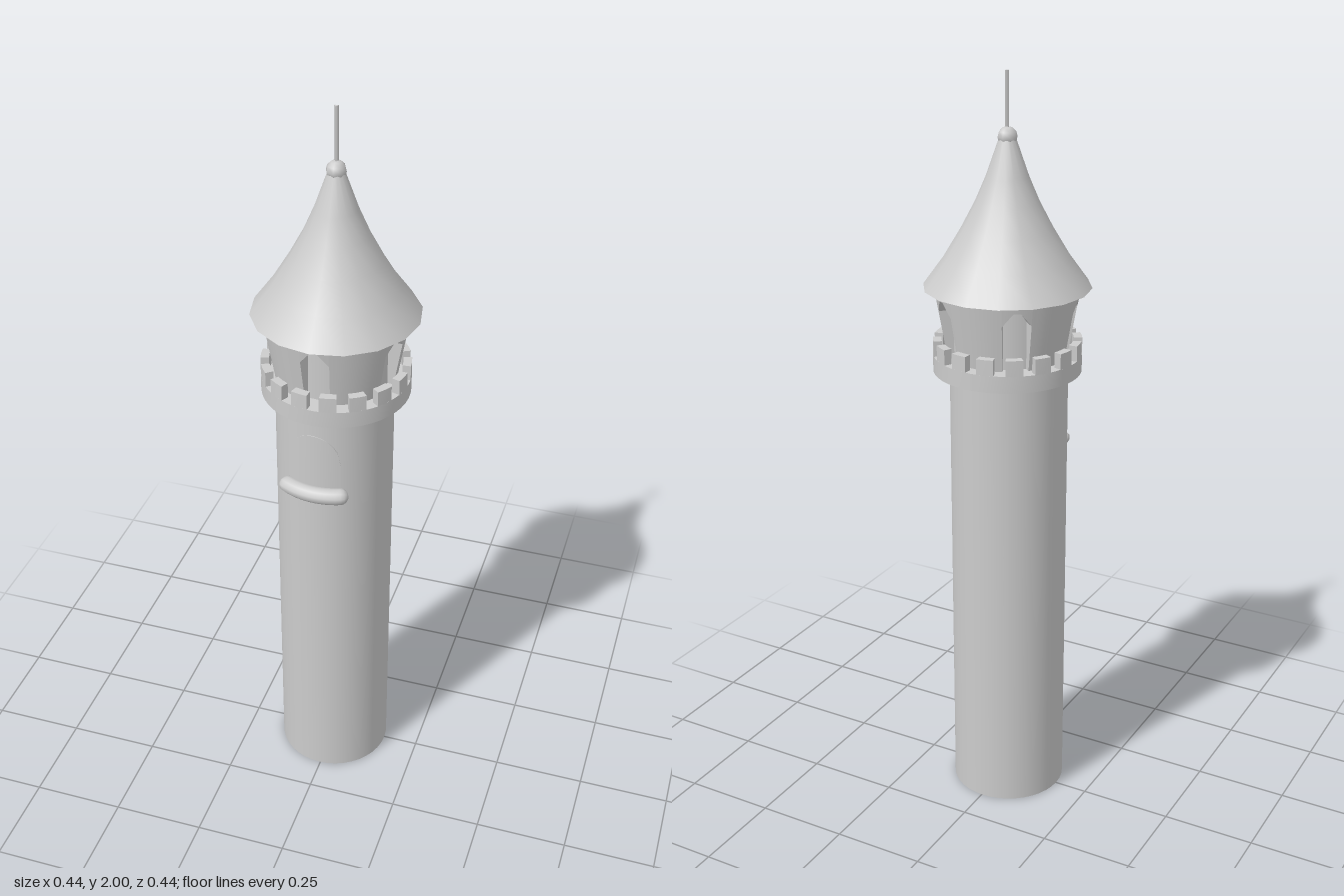
import * as THREE from 'three';

const material = new THREE.MeshStandardMaterial({ color: 0xcccccc, side: THREE.DoubleSide });

function add(parent, name, geometry, x = 0, y = 0, z = 0) {
  const mesh = new THREE.Mesh(geometry, material);
  mesh.name = name;
  mesh.position.set(x, y, z);
  parent.add(mesh);
  return mesh;
}

// Curved masonry block: a box wrapped round the y axis.
// bottom/top may be functions of u (-1..1 across), inner/outer functions of height.
function curvedBlock(angle, halfAngle, bottom, top, inner, outer, segments = 4) {
  const at = (f, t) => (typeof f === 'function' ? f(t) : f);
  const geometry = new THREE.BoxGeometry(1, 1, 1, segments, 1, 1);
  const p = geometry.attributes.position;
  for (let i = 0; i < p.count; i++) {
    const u = p.getX(i) * 2;
    const y = p.getY(i) > 0 ? at(top, u) : at(bottom, u);
    const r = p.getZ(i) > 0 ? at(outer, y) : at(inner, y);
    const a = angle + u * halfAngle;
    p.setXYZ(i, r * Math.sin(a), y, r * Math.cos(a));
  }
  geometry.computeVertexNormals();
  return geometry;
}

export function createModel() {
  const tower = new THREE.Group();
  tower.name = 'tower';

  // Shaft, open underneath
  add(tower, 'shaft', new THREE.CylinderGeometry(0.155, 0.155, 1.24, 40, 1, true), -0.003, 0.62, 0.002);

  // Battlement: solid ring with merlons
  const battlement = new THREE.Group();
  battlement.name = 'battlement';
  tower.add(battlement);
  add(battlement, 'battlementRing', curvedBlock(0, Math.PI, 1.233, 1.278, 0.138, 0.194, 48));
  const merlons = 16;
  for (let i = 0; i < merlons; i++) {
    const angle = ((i + 0.5) / merlons) * Math.PI * 2;
    add(battlement, 'merlon', curvedBlock(angle, 0.115, 1.277, 1.319, 0.172, 0.194, 2));
  }

  // Flared lookout chamber with five pointed openings
  const chamber = new THREE.Group();
  chamber.name = 'chamber';
  tower.add(chamber);
  const flare = (y) => 0.158 + (y - 1.277) * 0.172;
  const arch = (u) => 1.437 - 0.035 * Math.max(0, (Math.abs(u) - 0.25) / 0.75);
  const openings = 5, halfOpening = 0.21;
  for (let i = 0; i < openings; i++) {
    const angle = (i / openings) * Math.PI * 2;
    add(chamber, 'lintel', curvedBlock(angle, halfOpening, arch, 1.458, 0.14, flare, 8));
    add(chamber, 'pier', curvedBlock(angle + Math.PI / openings, Math.PI / openings - halfOpening, 1.277, 1.458, 0.14, flare, 8));
  }
  add(chamber, 'chamberCore', new THREE.CylinderGeometry(0.142, 0.142, 0.19, 32, 1, true), 0, 1.363, 0);

  // Bell-shaped roof and its flat underside
  const profile = [[0.218, 1.457], [0.165, 1.53], [0.12, 1.605], [0.083, 1.675], [0.055, 1.74], [0.018, 1.845]];
  add(tower, 'roof', new THREE.LatheGeometry(profile.map(([r, y]) => new THREE.Vector2(r, y)), 16));
  const underside = new THREE.CircleGeometry(0.218, 16);
  underside.rotateX(Math.PI / 2);
  add(tower, 'roofUnderside', underside, 0, 1.457, 0);

  // Finial ball and spike
  add(tower, 'finialBall', new THREE.SphereGeometry(0.026, 8, 6), 0, 1.838, 0);
  add(tower, 'spike', new THREE.CylinderGeometry(0.006, 0.006, 0.15, 3), 0, 1.925, 0);

  // Shallow arched window panel on the front of the shaft
  const windowAngle = -0.08;
  const panelTop = (u) => 1.09 + 0.085 * Math.sqrt(Math.max(0, 1 - u * u));
  add(tower, 'windowPanel', curvedBlock(windowAngle, 0.46, 1.01, panelTop, 0.14, 0.159, 16));

  // Rounded sill, bent round the shaft
  const sill = new THREE.CapsuleGeometry(0.021, 0.15, 4, 10, 12);
  sill.rotateZ(Math.PI / 2);
  const p = sill.attributes.position;
  for (let i = 0; i < p.count; i++) {
    const a = windowAngle + p.getX(i) / 0.168;
    const r = 0.17 + p.getZ(i) * 1.2;
    p.setXYZ(i, r * Math.sin(a), 1.002 + p.getY(i), r * Math.cos(a));
  }
  sill.computeVertexNormals();
  add(tower, 'windowSill', sill);

  return tower;
}
